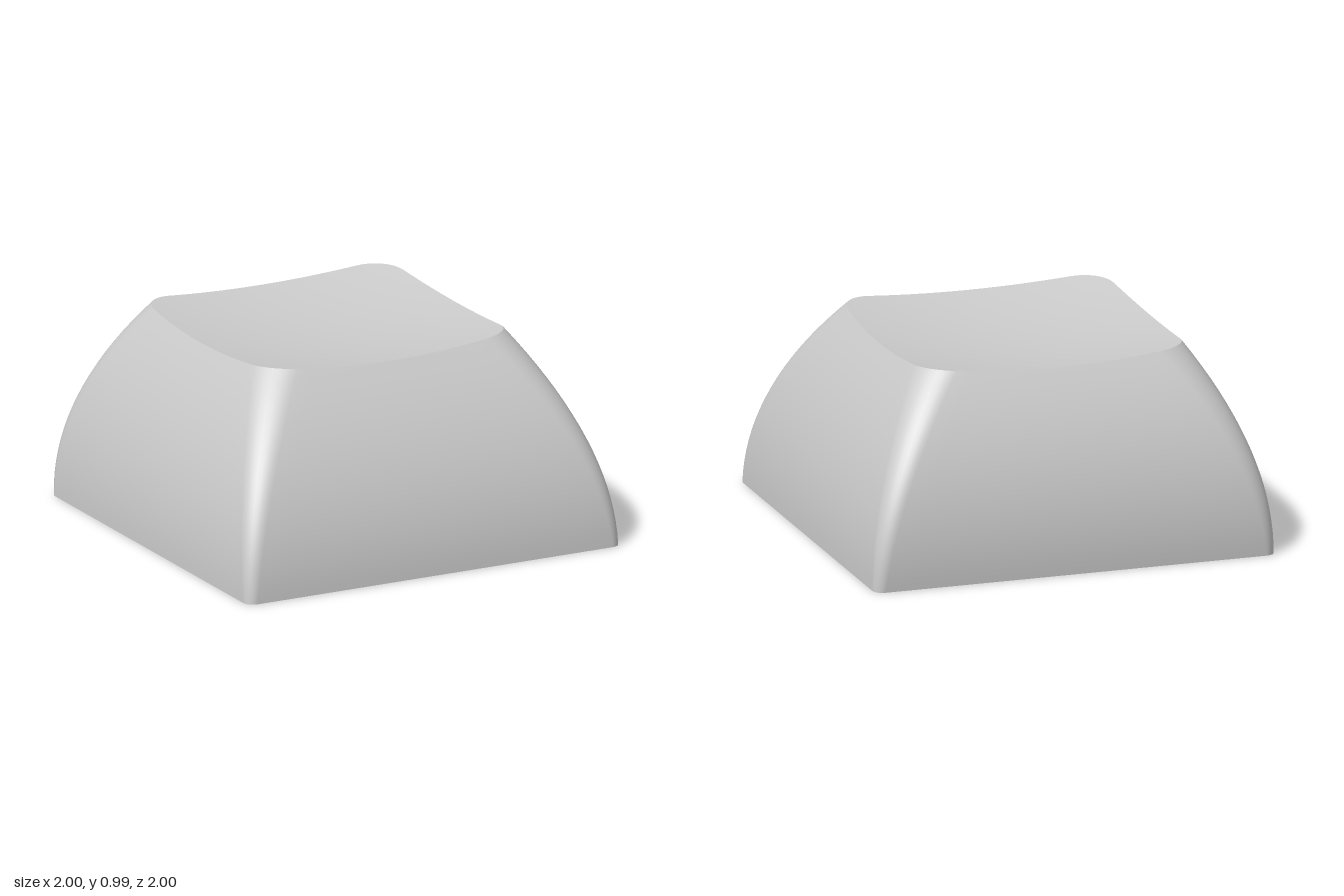
import * as THREE from 'three';

const mat = new THREE.MeshStandardMaterial({ color: 0xcccccc });
const lerp = THREE.MathUtils.lerp;
const ARC = 8, EDGE = 14, DISH_Z = -0.09, CEILING = 0.75;

// Rounded rectangle loop: half width hx, front zf, back zb, corner radius r
function loop(hx, zf, zb, r) {
  const corners = [[hx - r, zf - r], [r - hx, zf - r], [r - hx, zb + r], [hx - r, zb + r]];
  const arcPoint = (q, k) => {
    const a = (q + k / ARC) * Math.PI / 2;
    return [corners[q % 4][0] + r * Math.cos(a), corners[q % 4][1] + r * Math.sin(a)];
  };
  const pts = [];
  for (let q = 0; q < 4; q++) {
    for (let k = 0; k <= ARC; k++) pts.push(arcPoint(q, k));
    const a = arcPoint(q, ARC), b = arcPoint((q + 1) % 4, 0);
    for (let k = 1; k < EDGE; k++) {
      pts.push([lerp(a[0], b[0], k / EDGE), lerp(a[1], b[1], k / EDGE)]);
    }
  }
  return pts;
}

// Outer wall: curved sides that lean in, corners growing rounder upwards
const outer = y => loop(
  1 - 0.35 * y * y,
  1 - 0.027 * y - 0.42 * y * y,
  -1 + 0.39 * (y - 0.15) ** 2,
  lerp(0.05, 0.16, y));

// Inner wall of the hollow, t = 0 at the opening, 1 at the ceiling
const inner = t => loop(lerp(0.8, 0.6, t), lerp(0.8, 0.54, t), lerp(-0.8, -0.66, t), lerp(0.05, 0.08, t));

// Concave top surface
const dishY = (x, z) => 0.905 + 0.108 * (x * x + (z - DISH_Z) ** 2);

const at = (pts, y) => pts.map(([x, z]) => [x, y, z]);

// Skin over closed rings of points
function loft(name, rings) {
  const n = rings[0].length, index = [];
  for (let i = 0; i < rings.length - 1; i++) {
    for (let j = 0; j < n; j++) {
      const a = i * n + j, b = i * n + (j + 1) % n;
      index.push(a, a + n, b, b, a + n, b + n);
    }
  }
  const geo = new THREE.BufferGeometry();
  geo.setAttribute('position', new THREE.Float32BufferAttribute(rings.flat(2), 3));
  geo.setIndex(index);
  geo.computeVertexNormals();
  return named(name, geo);
}

function named(name, geo) {
  const mesh = new THREE.Mesh(geo, mat);
  mesh.name = name;
  return mesh;
}

export function createModel() {
  const group = new THREE.Group();
  group.name = 'keycap';

  // Height at which each column of the wall meets the dish
  const topY = outer(0).map((_, j) => {
    let y = 0.97;
    for (let k = 0; k < 12; k++) y = dishY(...outer(y)[j]);
    return y;
  });

  // Outer walls
  const levels = 18, walls = [];
  for (let i = 0; i <= levels; i++) {
    walls.push(topY.map((top, j) => {
      const y = top * i / levels, [x, z] = outer(y)[j];
      return [x, y, z];
    }));
  }
  group.add(loft('outerWalls', walls));

  // Dished top, shrinking from the rim to the centre
  const rim = walls[levels], rings = 12, dish = [];
  for (let i = 0; i <= rings; i++) {
    dish.push(rim.map(([px, , pz]) => {
      const x = lerp(px, 0, i / rings), z = lerp(pz, DISH_Z, i / rings);
      return [x, dishY(x, z), z];
    }));
  }
  group.add(loft('dishedTop', dish));

  // Bottom rim, inner walls and ceiling
  const ceiling = at(inner(1), CEILING);
  group.add(loft('bottomRim', [at(inner(0), 0), at(outer(0), 0)]));
  group.add(loft('innerWalls', [ceiling, at(inner(0), 0)]));
  group.add(loft('ceiling', [ceiling.map(() => [0, CEILING, DISH_Z]), ceiling]));

  // Stem: round sleeve with a softened lower edge
  const R = 0.3, f = 0.03, profile = [];
  for (let k = 0; k <= 6; k++) {
    const a = k / 6 * Math.PI / 2;
    profile.push(new THREE.Vector2(R - f + f * Math.sin(a), f - f * Math.cos(a)));
  }
  profile.push(new THREE.Vector2(R, f + 0.01), new THREE.Vector2(R, CEILING));
  group.add(named('stemSleeve', new THREE.LatheGeometry(profile, 64)));

  // Stem core with a cross-shaped socket
  const L = 0.228, w = 0.07, depth = 0.42;
  const core = new THREE.Shape().absarc(0, 0, R - f, 0, Math.PI * 2);
  const cross = [[L, w], [w, w], [w, L], [-w, L], [-w, w], [-L, w],
    [-L, -w], [-w, -w], [-w, -L], [w, -L], [w, -w], [L, -w]];
  core.holes.push(new THREE.Path(cross.map(p => new THREE.Vector2(...p))));
  const coreGeo = new THREE.ExtrudeGeometry(core, { depth, bevelEnabled: false, curveSegments: 32 });
  coreGeo.rotateX(Math.PI / 2).translate(0, depth, 0);
  group.add(named('stemSocket', coreGeo));

  // Closed end of the socket
  const end = new THREE.CircleGeometry(R - f, 32).rotateX(Math.PI / 2).translate(0, depth, 0);
  group.add(named('socketEnd', end));

  return group;
}
